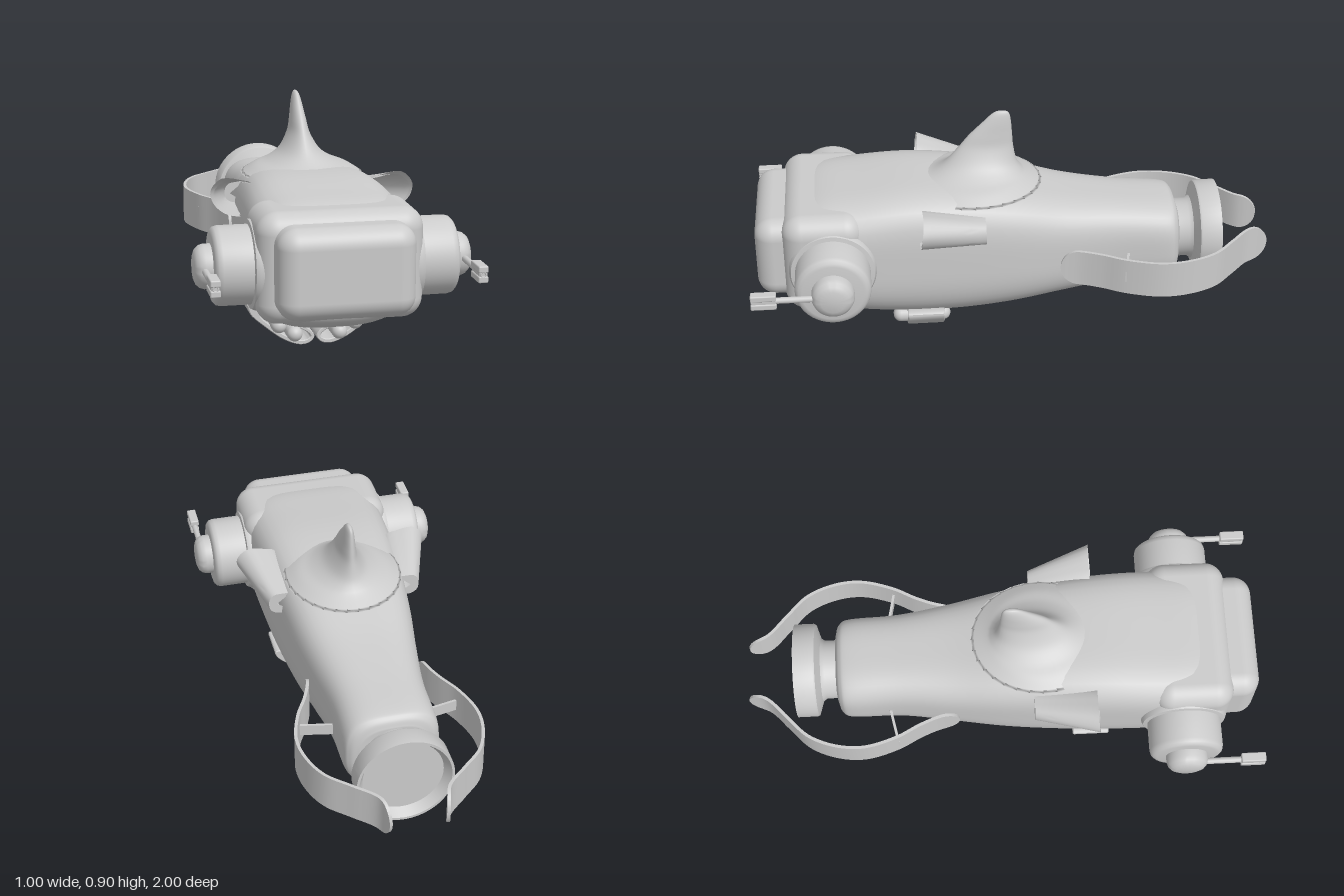
import * as THREE from 'three';
import { toCreasedNormals } from 'three/addons/utils/BufferGeometryUtils.js';
import { RoundedBoxGeometry } from 'three/addons/geometries/RoundedBoxGeometry.js';

const V = (x, y, z) => new THREE.Vector3(x, y, z);
const grey = new THREE.MeshStandardMaterial({ color: 0xcccccc });
const greyBoth = new THREE.MeshStandardMaterial({ color: 0xcccccc, side: THREE.DoubleSide });

function part(name, geometry, material = grey) {
  const mesh = new THREE.Mesh(geometry, material);
  mesh.name = name;
  return mesh;
}

// Skin over closed rings of equal length, with fan caps where asked
function loft(rings, capStart = true, capEnd = true) {
  const n = rings[0].length, index = [], points = rings.flat();
  for (let i = 0; i < rings.length - 1; i++) {
    for (let j = 0; j < n; j++) {
      const a = i * n + j, b = i * n + (j + 1) % n;
      index.push(a, b, a + n, b, b + n, a + n);
    }
  }
  const cap = (start, flip) => {
    const centre = V(0, 0, 0);
    for (let j = 0; j < n; j++) centre.addScaledVector(points[start + j], 1 / n);
    const c = points.push(centre) - 1;
    for (let j = 0; j < n; j++) {
      const a = start + j, b = start + (j + 1) % n;
      index.push(c, flip ? b : a, flip ? a : b);
    }
  };
  if (capStart) cap(0, true);
  if (capEnd) cap((rings.length - 1) * n, false);
  const geometry = new THREE.BufferGeometry().setFromPoints(points);
  geometry.setIndex(index);
  geometry.computeVertexNormals();
  return geometry;
}

// Turned part from [radius, height] pairs
function turned(profile, sides = 48) {
  const pts = profile.map(([r, h]) => new THREE.Vector2(r, h));
  return toCreasedNormals(new THREE.LatheGeometry(pts, sides), 0.6);
}

// Linear lookup of one column in a sorted table of rows
function smoothRows(rows, steps) {
  const curves = rows[0].map((_, c) => new THREE.CatmullRomCurve3(rows.map((r, i) => V(i, r[c], 0))));
  return Array.from({ length: steps + 1 }, (_, i) => curves.map(c => c.getPoint(i / steps).y));
}

// Body: boxy rounded sections along z [z, half width, top, bottom, exponent]
function bodyGeometry() {
  const rows = [
    [-0.65, 0.13, 0.46, 0.23, 2.8], [-0.635, 0.165, 0.495, 0.2, 3], [-0.59, 0.183, 0.512, 0.182, 3.2],
    [-0.4, 0.186, 0.53, 0.172, 3.4], [-0.2, 0.213, 0.558, 0.145, 3.6], [0, 0.243, 0.605, 0.115, 4],
    [0.2, 0.263, 0.638, 0.1, 4.3], [0.4, 0.277, 0.648, 0.105, 4.5], [0.6, 0.285, 0.633, 0.13, 4.5],
    [0.74, 0.277, 0.617, 0.165, 4.5], [0.83, 0.25, 0.58, 0.205, 4], [0.86, 0.21, 0.54, 0.25, 4]];
  const rings = smoothRows(rows, 66).map(([z, w, top, bottom, e]) => {
    const yc = bottom + (top - bottom) * 0.48;
    return Array.from({ length: 64 }, (_, j) => {
      const a = j / 64 * Math.PI * 2, c = Math.cos(a), s = Math.sin(a);
      const p = s > 0 ? e : 2.9;
      const r = (Math.abs(c) ** p + Math.abs(s) ** p) ** (-1 / p);
      return V(w * r * c, yc + r * s * (s > 0 ? top - yc : yc - bottom), z);
    });
  });
  return loft(rings);
}

// Dorsal fin with a wide blended foot [y, rear z, front z, half thickness]
function finGeometry() {
  const rows = [
    [0.605, -0.12, 0.42, 0.23], [0.635, -0.065, 0.35, 0.18], [0.655, -0.042, 0.3, 0.125],
    [0.69, -0.022, 0.252, 0.075], [0.75, -0.01, 0.2, 0.04], [0.8, -0.006, 0.16, 0.029],
    [0.85, -0.002, 0.11, 0.021], [0.882, 0.003, 0.078, 0.014], [0.896, 0.012, 0.058, 0.008], [0.9, 0.027, 0.042, 0.003]];
  return loft(smoothRows(rows, 40).map(([y, back, front, w]) =>
    Array.from({ length: 32 }, (_, j) => {
      const a = j / 32 * Math.PI * 2;
      return V(w * Math.cos(a), y, (back + front) / 2 - (front - back) / 2 * Math.sin(a));
    })));
}

// Side scoop: thin curved shell open at the front, closed at the back
function scoopGeometry() {
  const front = [[0.24, 0.49], [0.32, 0.5], [0.37, 0.54], [0.382, 0.59], [0.34, 0.634], [0.24, 0.62]];
  const rear = [[0.23, 0.48], [0.275, 0.482], [0.298, 0.5], [0.302, 0.54], [0.285, 0.565], [0.23, 0.57]];
  const curve = pts => new THREE.CatmullRomCurve3(pts.map(([x, y]) => V(x, y, 0))).getPoints(20);
  const f = curve(front), r = curve(rear), rings = [];
  for (let i = 0; i <= 8; i++) {
    const t = i / 8;
    const outer = f.map((p, j) => r[j].clone().lerp(p, t).setZ(0.115 + t * (0.25 - (p.y - 0.49) * 0.1)));
    const inner = outer.map(p => V(p.x - 0.012, 0.545 + (p.y - 0.545) * 0.88, p.z)).reverse();
    rings.push([...outer, ...inner]);
  }
  return toCreasedNormals(loft(rings, true, false), 0.7);
}

// Curved flat strap with rounded ends, swept from rear to front
function strapGeometry() {
  const path = new THREE.CatmullRomCurve3([[0.105, -1], [0.13, -0.925], [0.21, -0.845], [0.29, -0.765],
    [0.335, -0.66], [0.345, -0.55], [0.31, -0.42], [0.265, -0.33], [0.235, -0.25], [0.222, -0.175]].map(([x, z]) => V(x, 0.328, z)));
  const length = path.getLength(), rings = [], count = 80;
  for (let i = 0; i <= count; i++) {
    const t = (1 - Math.cos(i / count * Math.PI)) / 2;
    const p = path.getPointAt(t), d = path.getTangentAt(t);
    const end = Math.min(1, Math.min(t, 1 - t) * length / 0.07);
    const h = Math.max(0.003, 0.074 * Math.sqrt(1 - (1 - end) ** 2));
    const corner = (side, up) => V(p.x + side * d.z * 0.006, p.y + up * h, p.z - side * d.x * 0.006);
    rings.push([corner(1, -1), corner(1, 1), corner(-1, 1), corner(-1, -1)]);
  }
  return toCreasedNormals(loft(rings), 0.7);
}

// Leaf-shaped hoop under the belly
function hoopGeometry() {
  const loop = pts => new THREE.CatmullRomCurve3(pts.map(([x, y]) => V(x, y, 0)), true)
    .getPoints(48).map(p => new THREE.Vector2(p.x, p.y));
  const shape = new THREE.Shape(loop([[0.007, 0.03], [0.025, 0.01], [0.06, 0.005], [0.12, 0.028], [0.19, 0.08],
    [0.245, 0.132], [0.25, 0.155], [0.222, 0.158], [0.14, 0.123], [0.06, 0.08], [0.018, 0.052]]));
  shape.holes.push(new THREE.Path(loop([[0.016, 0.032], [0.03, 0.019], [0.06, 0.016], [0.115, 0.038], [0.18, 0.087],
    [0.212, 0.118], [0.212, 0.142], [0.14, 0.112], [0.065, 0.072], [0.024, 0.046]])));
  const geometry = new THREE.ExtrudeGeometry(shape, { depth: 0.135, bevelThickness: 0.004, bevelSize: 0.003, bevelSegments: 1 });
  return toCreasedNormals(geometry.translate(0, 0, 0.28), 0.6);
}

// Everything that sits on one flank, built for +x
function buildSide(name) {
  const side = new THREE.Group();
  side.name = name;

  // Drum, collar and domed cap turned about the x axis
  const drums = {
    drumCollar: [[0.165, 0.24], [0.165, 0.285], [0.158, 0.3], [0.135, 0.304]],
    drum: [[0.142, 0.26], [0.142, 0.41], [0.138, 0.425], [0.128, 0.434], [0.115, 0.437], [0, 0.437]],
    drumCap: [[0.08, 0.43], [0.08, 0.462], [0.075, 0.478], [0.063, 0.491], [0.045, 0.498], [0, 0.5]],
  };
  for (const [key, profile] of Object.entries(drums)) {
    const mesh = part(key, turned(profile));
    mesh.rotation.z = -Math.PI / 2;
    mesh.position.set(0, 0.4, 0.695);
    side.add(mesh);
  }

  // Forward arm with a two-layer tip and a small bored end
  side.add(part('armRod', new THREE.CylinderGeometry(0.012, 0.012, 0.2, 16).rotateX(Math.PI / 2).translate(0.465, 0.4, 0.82)));
  for (const s of [-1, 1]) {
    side.add(part('armTipJaw', new RoundedBoxGeometry(0.036, 0.024, 0.095, 2, 0.005).translate(0.465, 0.4 + s * 0.018, 0.95)));
  }
  side.add(part('armTipCore', new THREE.BoxGeometry(0.028, 0.03, 0.085).translate(0.465, 0.4, 0.95)));
  side.add(part('armTipBore', new THREE.TorusGeometry(0.009, 0.003, 8, 20).translate(0.465, 0.4, 0.994)));

  side.add(part('sideScoop', scoopGeometry(), greyBoth));
  side.add(part('tailStrap', strapGeometry()));

  // Strut from body to strap
  const strut = part('strapStrut', new THREE.BoxGeometry(0.15, 0.045, 0.01));
  strut.position.set(0.242, 0.328, -0.432);
  strut.rotation.y = -0.2;
  side.add(strut);

  // Belly hoop holding two round-ended rollers
  side.add(part('bellyHoop', hoopGeometry()));
  for (const [x, y] of [[0.085, 0.054], [0.145, 0.09]]) {
    side.add(part('roller', new THREE.CapsuleGeometry(0.029, 0.165, 8, 24).rotateX(Math.PI / 2).translate(x, y, 0.362)));
  }
  return side;
}

export function createModel() {
  const model = new THREE.Group();
  model.name = 'finnedVehicle';
  model.add(part('body', bodyGeometry()));
  model.add(part('dorsalFin', finGeometry()));

  // Head frame and bulging front visor
  model.add(part('headFrame', new RoundedBoxGeometry(0.594, 0.4, 0.31, 8, 0.075).translate(0, 0.413, 0.725)));
  model.add(part('visor', new RoundedBoxGeometry(0.488, 0.326, 0.2, 8, 0.07).translate(0, 0.415, 0.885)));

  // Tail nozzle with a dished rear
  const nozzle = part('tailNozzle', turned([[0.115, 0.55], [0.115, 0.695], [0.125, 0.71], [0.155, 0.72], [0.18, 0.728],
    [0.184, 0.735], [0.184, 0.812], [0.174, 0.812], [0.152, 0.775], [0, 0.775]]));
  nozzle.rotation.x = -Math.PI / 2;
  nozzle.position.y = 0.345;
  model.add(nozzle);

  const left = buildSide('leftSide'), right = buildSide('rightSide');
  right.scale.x = -1;
  model.add(left, right);
  return model;
}
